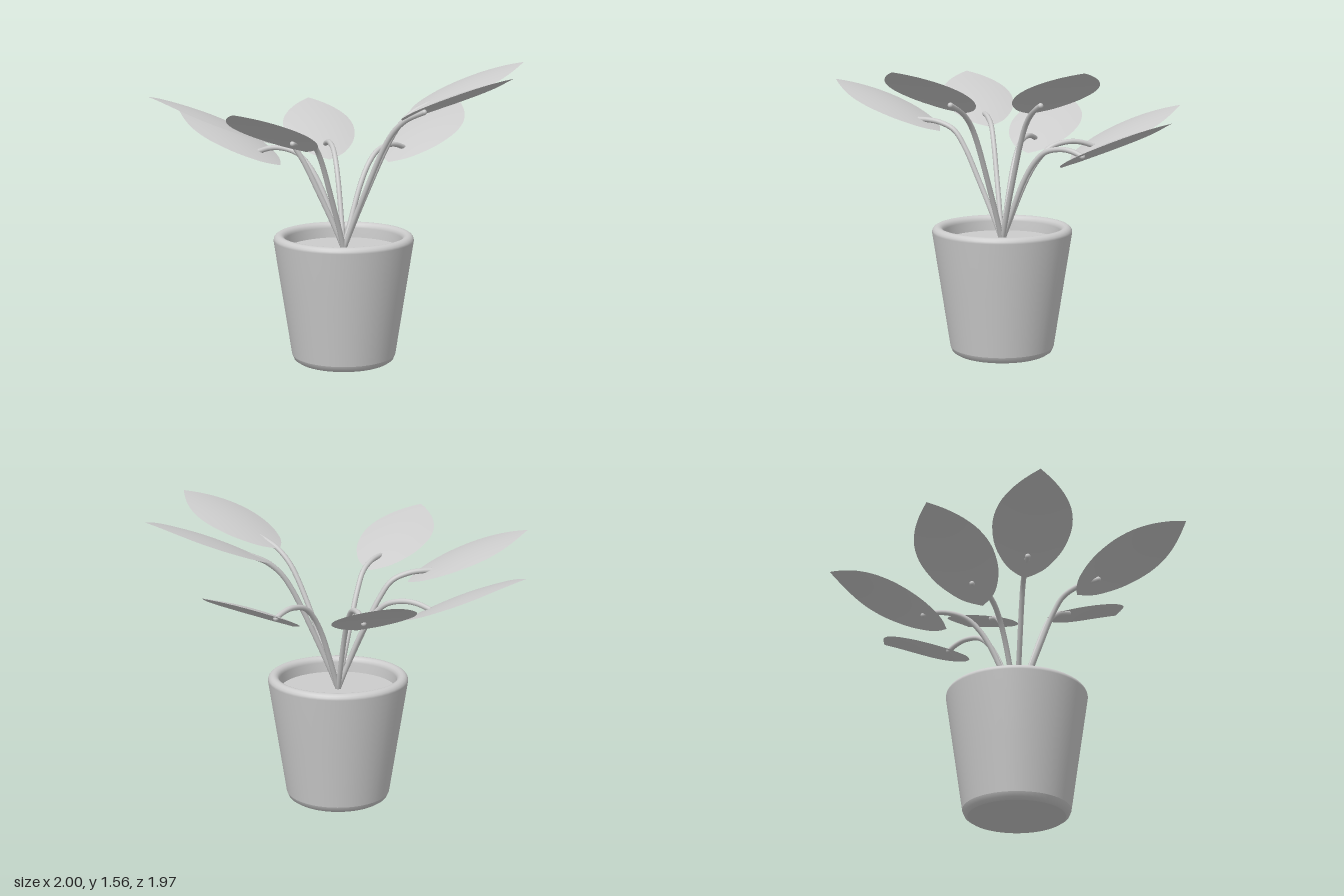
import * as THREE from 'three';

const CX = -0.01, CZ = -0.02; // pot axis
const material = new THREE.MeshStandardMaterial({ color: 0xcccccc });
const leafMaterial = new THREE.MeshStandardMaterial({ color: 0xcccccc, side: THREE.DoubleSide });

function add(parent, name, geometry, mat = material) {
  const mesh = new THREE.Mesh(geometry, mat);
  mesh.name = name;
  parent.add(mesh);
  return mesh;
}

// Stem profiles: [distance from pot axis, height]
const STEMS = {
  low: [[0, 0.6], [0.04, 0.7], [0.14, 0.93], [0.21, 1.035], [0.28, 1.093], [0.38, 1.115], [0.45, 1.108], [0.51, 1.088]],
  mid: [[0, 0.6], [0.04, 0.7], [0.14, 0.92], [0.22, 1.085], [0.285, 1.175], [0.37, 1.212], [0.44, 1.222], [0.5, 1.222]],
  high: [[0, 0.6], [0.04, 0.7], [0.12, 0.885], [0.25, 1.16], [0.31, 1.25], [0.38, 1.312], [0.44, 1.342], [0.49, 1.362]],
};

// Each leaf: stem profile, base point and tip point
const LEAVES = [
  ['low', [0.36, 1.02, -0.02], [1.0, 1.29, -0.02]],
  ['high', [0.3, 1.31, 0.17], [0.84, 1.56, 0.52]],
  ['high', [0.02, 1.31, 0.35], [0.08, 1.56, 0.98]],
  ['mid', [-0.37, 1.165, 0.045], [-1.0, 1.42, 0.16]],
  ['mid', [-0.28, 1.165, -0.27], [-0.75, 1.42, -0.7]],
  ['low', [-0.1, 1.02, -0.39], [-0.27, 1.29, -0.99]],
  ['low', [0.22, 1.02, -0.32], [0.6, 1.29, -0.82]],
];

// Half-width of the blade along its length
const outline = new THREE.SplineCurve([
  [0, 0], [0.05, 0.06], [0.12, 0.11], [0.25, 0.163], [0.38, 0.191], [0.52, 0.2],
  [0.66, 0.182], [0.78, 0.14], [0.88, 0.086], [0.95, 0.038], [1, 0],
].map(([t, w]) => new THREE.Vector2(t, w)));

// Blade: a grid narrowed to the outline, arched lengthwise, edges slightly drooping
function leafGeometry(base, tip) {
  const geo = new THREE.PlaneGeometry(2, 1, 10, 28);
  const axis = tip.clone().sub(base);
  const side = new THREE.Vector3(-axis.z, 0, axis.x).normalize();
  const up = side.clone().cross(axis).normalize();
  if (up.y < 0) up.negate();
  const pos = geo.attributes.position;
  const p = new THREE.Vector3();
  for (let i = 0; i < pos.count; i++) {
    const s = pos.getX(i);
    const o = outline.getPoint(THREE.MathUtils.clamp(pos.getY(i) + 0.5, 0, 1));
    const w = Math.max(o.y, 0.0005);
    const lift = 0.025 * Math.sin(Math.PI * o.x) - 0.5 * (s * w) ** 2;
    p.copy(base).addScaledVector(axis, o.x).addScaledVector(side, s * w).addScaledVector(up, lift);
    pos.setXYZ(i, p.x, p.y, p.z);
  }
  geo.computeVertexNormals();
  return geo;
}

export function createModel() {
  const model = new THREE.Group();
  model.name = 'pottedPlant';

  // Tapered pot with a chamfered foot, rounded rim and hollow top
  const pot = new THREE.Group();
  pot.name = 'pot';
  pot.position.set(CX, 0, CZ);
  model.add(pot);
  const v = (x, y) => new THREE.Vector2(x, y);
  const rim = [];
  for (let i = 0; i <= 8; i++) {
    const a = (Math.PI * i) / 8;
    rim.push(v(0.34 + 0.03 * Math.cos(a), 0.652 + 0.03 * Math.sin(a)));
  }
  add(pot, 'potBase', new THREE.CircleGeometry(0.248, 48).rotateX(Math.PI / 2));
  add(pot, 'potFoot', new THREE.LatheGeometry([v(0.248, 0), v(0.266, 0.012), v(0.276, 0.035)], 48));
  add(pot, 'potWall', new THREE.LatheGeometry([v(0.276, 0.035), v(0.323, 0.345), ...rim, v(0.306, 0.59)], 48));
  add(pot, 'soil', new THREE.CircleGeometry(0.312, 48).rotateX(-Math.PI / 2)).position.y = 0.6;

  // Stems fan out from the centre of the soil, each holding one leaf
  LEAVES.forEach(([tier, b, t], i) => {
    const base = new THREE.Vector3(...b), tip = new THREE.Vector3(...t);
    const angle = Math.atan2(base.z + (tip.z - base.z) * 0.2 - CZ, base.x + (tip.x - base.x) * 0.2 - CX);
    const reach = Math.hypot(base.x + (tip.x - base.x) * 0.2 - CX, base.z + (tip.z - base.z) * 0.2 - CZ);
    const profile = STEMS[tier];
    const scale = reach / profile[profile.length - 1][0];
    const points = profile.map(([r, y]) =>
      new THREE.Vector3(CX + r * scale * Math.cos(angle), y, CZ + r * scale * Math.sin(angle)));

    const plant = new THREE.Group();
    plant.name = `leafStalk${i + 1}`;
    model.add(plant);
    add(plant, 'stem', new THREE.TubeGeometry(new THREE.CatmullRomCurve3(points), 40, 0.014, 10));
    add(plant, 'stemEnd', new THREE.SphereGeometry(0.014, 10, 8)).position.copy(points[points.length - 1]);
    add(plant, 'leaf', leafGeometry(base, tip), leafMaterial);
  });

  return model;
}
